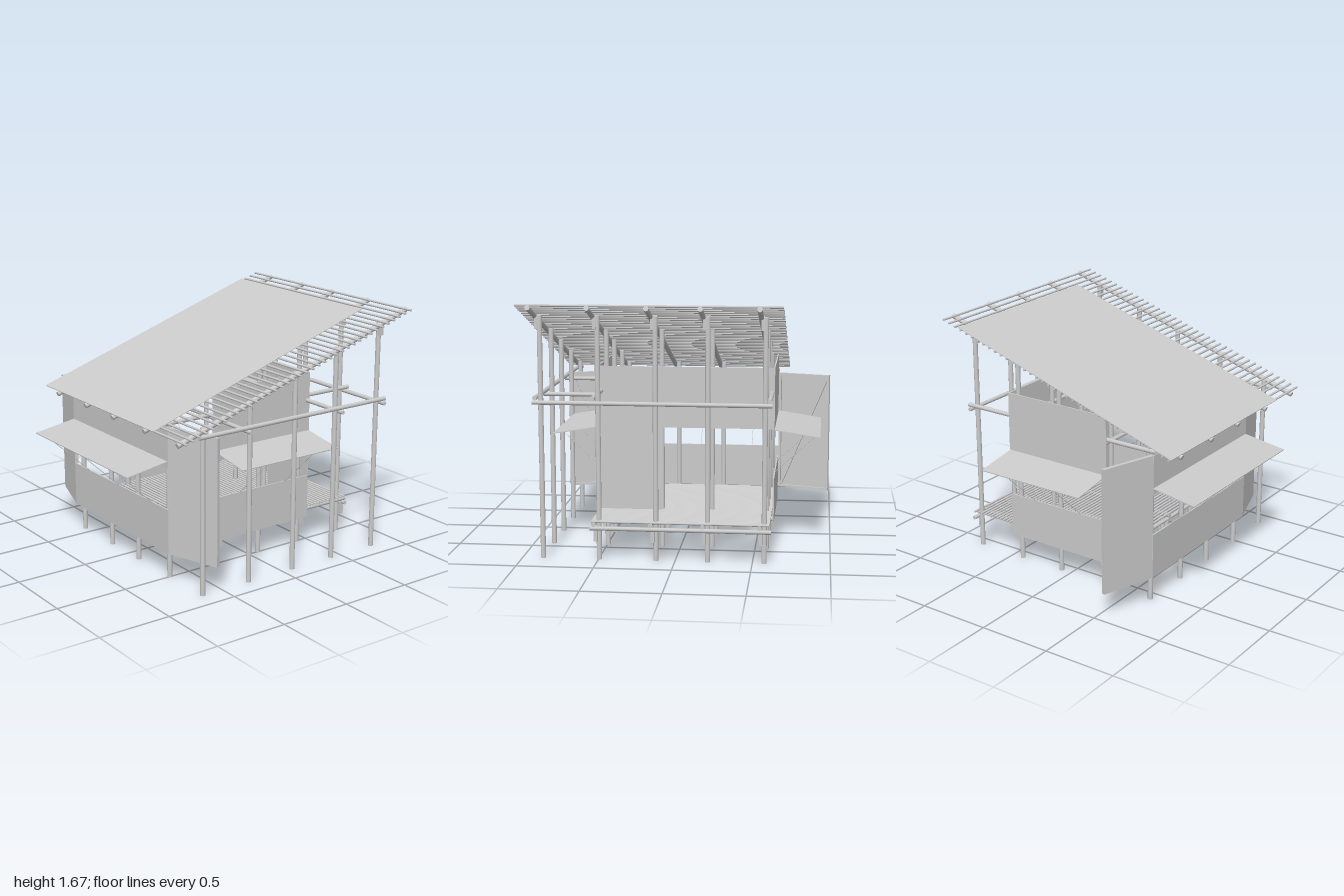
import * as THREE from 'three';

const grey = new THREE.MeshStandardMaterial({ color: 0xcccccc });
const V = (x, y, z) => new THREE.Vector3(x, y, z);

export function createModel() {
  const model = new THREE.Group();

  // round pole between two points
  function pole(name, a, b, r, sides = 10) {
    const d = b.clone().sub(a);
    const m = new THREE.Mesh(new THREE.CylinderGeometry(r, r, d.length(), sides), grey);
    m.position.copy(a).lerp(b, 0.5);
    m.quaternion.setFromUnitVectors(V(0, 1, 0), d.normalize());
    m.name = name;
    model.add(m);
  }

  // box given by its limits
  function box(name, x0, x1, y0, y1, z0, z1, parent = model) {
    const m = new THREE.Mesh(new THREE.BoxGeometry(x1 - x0, y1 - y0, z1 - z0), grey);
    m.position.set((x0 + x1) / 2, (y0 + y1) / 2, (z0 + z1) / 2);
    m.name = name;
    parent.add(m);
    return m;
  }

  const postX = [-0.575, -0.21, 0.125, 0.495, 0.865];
  const postZ = [0.65, 0.285, -0.08, -0.42, -0.785];
  const crossZ = [0.31, -0.45, -0.82];
  const slope = 0.329;
  const rafterY = z => 1.04 + slope * (0.86 - z);
  const tilt = Math.atan(slope);

  // posts: tall around the edge, short under the floor
  postX.forEach((x, i) => postZ.forEach((z, j) => {
    const inner = (i === 1 || i === 2) && (j === 1 || j === 2);
    pole('post', V(x, 0, z), V(x, inner ? 0.23 : rafterY(z) + 0.005, z), 0.017, 12);
    // cleats beside the posts under the floor beams
    if (i < 4 && j !== 0 && j !== 2) {
      box('floorCleat', x + 0.008, x + 0.03, 0.125, 0.215, z - 0.04, z - 0.012);
      if (j === 1) box('floorCleat', x + 0.008, x + 0.03, 0.125, 0.215, z + 0.012, z + 0.04);
    }
    if (j === 4) box('rafterCleat', x + 0.008, x + 0.03, 1.5, 1.58, z - 0.016, z + 0.016);
  }));

  // rafters beside the posts
  for (const x of postX) {
    pole('rafter', V(x + 0.03, rafterY(0.86), 0.86), V(x + 0.03, rafterY(-1), -1), 0.017, 12);
  }

  // roof battens
  for (let i = 0; i < 38; i++) {
    const z = 0.85 - i * 0.0489;
    const y = rafterY(z) + 0.024;
    pole('roofBatten', V(-0.69, y, z), V(0.985, y, z), 0.008, 8);
  }

  // roof sheet
  const sheet = box('roofSheet', -0.69, 0.65, -0.002, 0.002, -0.85 / Math.cos(tilt), 0.85 / Math.cos(tilt));
  sheet.position.set(-0.02, rafterY(0.02) + 0.035, 0.02);
  sheet.rotation.x = tilt;

  // upper rails
  for (const x of [-0.605, 0.525, 0.895]) {
    pole('sideRail', V(x, 1.06, 0.7), V(x, 1.06, -0.835), 0.015);
  }
  for (const z of crossZ) pole('crossRail', V(-0.62, 1.03, z), V(0.915, 1.03, z), 0.014);

  // floor frame and slats
  for (const x of postX.slice(0, 4)) {
    pole('floorJoist', V(x + 0.03, 0.24, 0.33), V(x + 0.03, 0.24, -0.835), 0.015);
  }
  for (const z of crossZ) pole('floorBeam', V(-0.62, 0.213, z), V(0.55, 0.213, z), 0.014);
  for (let i = 0; i < 41; i++) {
    const z = 0.32 - i * 0.0285;
    pole('floorSlat', V(-0.61, 0.257, z), V(0.54, 0.257, z), 0.008, 8);
  }

  // front wall
  box('frontWallLower', -0.62, 0.545, 0.185, 0.49, 0.686, 0.696);
  box('frontWallUpper', -0.62, 0.545, 0.77, 1.04, 0.686, 0.696);

  // side walls
  for (const x of [-0.62, 0.545]) {
    box('sideWallLower', x - 0.004, x + 0.004, 0.185, 0.49, -0.465, 0.33);
    box('sideWallUpper', x - 0.004, x + 0.004, 0.77, 1.225, -0.465, 0.33);
  }

  // back wall with the doorway onto the deck
  box('backWallPanel', 0.115, 0.549, 0.185, 1.225, -0.469, -0.461);
  box('backWallUpper', -0.624, 0.115, 0.82, 1.225, -0.469, -0.461);

  // raised awning flaps with their stay wires, built facing +z from the hinge
  function awning(name, hinge, turn, width, reach, wires) {
    const g = new THREE.Group();
    const flap = box(name + 'Flap', -width / 2, width / 2, -0.003, 0.003, 0, Math.hypot(reach, 0.048), g);
    flap.position.set(0, -0.024, reach / 2);
    flap.rotation.x = Math.atan2(0.048, reach);
    for (const x of wires) {
      const a = V(x, -0.048, reach - 0.01), b = V(x, -0.325, 0);
      const d = b.clone().sub(a);
      const w = new THREE.Mesh(new THREE.CylinderGeometry(0.002, 0.002, d.length(), 6), grey);
      w.position.copy(a).lerp(b, 0.5);
      w.quaternion.setFromUnitVectors(V(0, 1, 0), d.normalize());
      w.name = name + 'Wire';
      g.add(w);
    }
    g.position.copy(hinge);
    g.rotation.y = turn;
    g.name = name;
    model.add(g);
  }
  awning('frontAwning', V(-0.0375, 0.814, 0.695), 0, 1.165, 0.305, [-0.382, 0.002, 0.382]);
  awning('leftAwning', V(0.55, 0.814, -0.0675), Math.PI / 2, 0.795, 0.305, [-0.185, 0.195]);
  awning('rightAwning', V(-0.62, 0.814, -0.0675), -Math.PI / 2, 0.795, 0.305, [-0.195, 0.185]);

  // angled wing panels, framed and braced on the back
  for (const [s, x] of [[1, 0.548], [-1, -0.622]]) {
    const g = new THREE.Group();
    const w = 0.385, t = 0.016;
    const span = (a, b) => s > 0 ? [a, b] : [-b, -a];
    box('wingPanel', ...span(0, w), 0.185, 1.04, -0.004, 0.004, g);
    for (const u of [0, w - t]) box('wingStile', ...span(u, u + t), 0.185, 1.04, -0.02, -0.004, g);
    for (const y of [0.185, 1.04 - t]) box('wingRail', ...span(0, w), y, y + t, -0.02, -0.004, g);
    const brace = box('wingBrace', -0.008, 0.008, -0.44, 0.44, -0.018, -0.004, g);
    brace.position.set(s * w / 2, 0.6125, -0.011);
    brace.rotation.z = -s * Math.atan2(w - 2 * t, 0.82);
    g.position.set(x, 0, 0.69);
    g.rotation.y = s * Math.atan2(0.12, 0.365);
    g.name = s > 0 ? 'leftWing' : 'rightWing';
    model.add(g);
  }

  return model;
}
